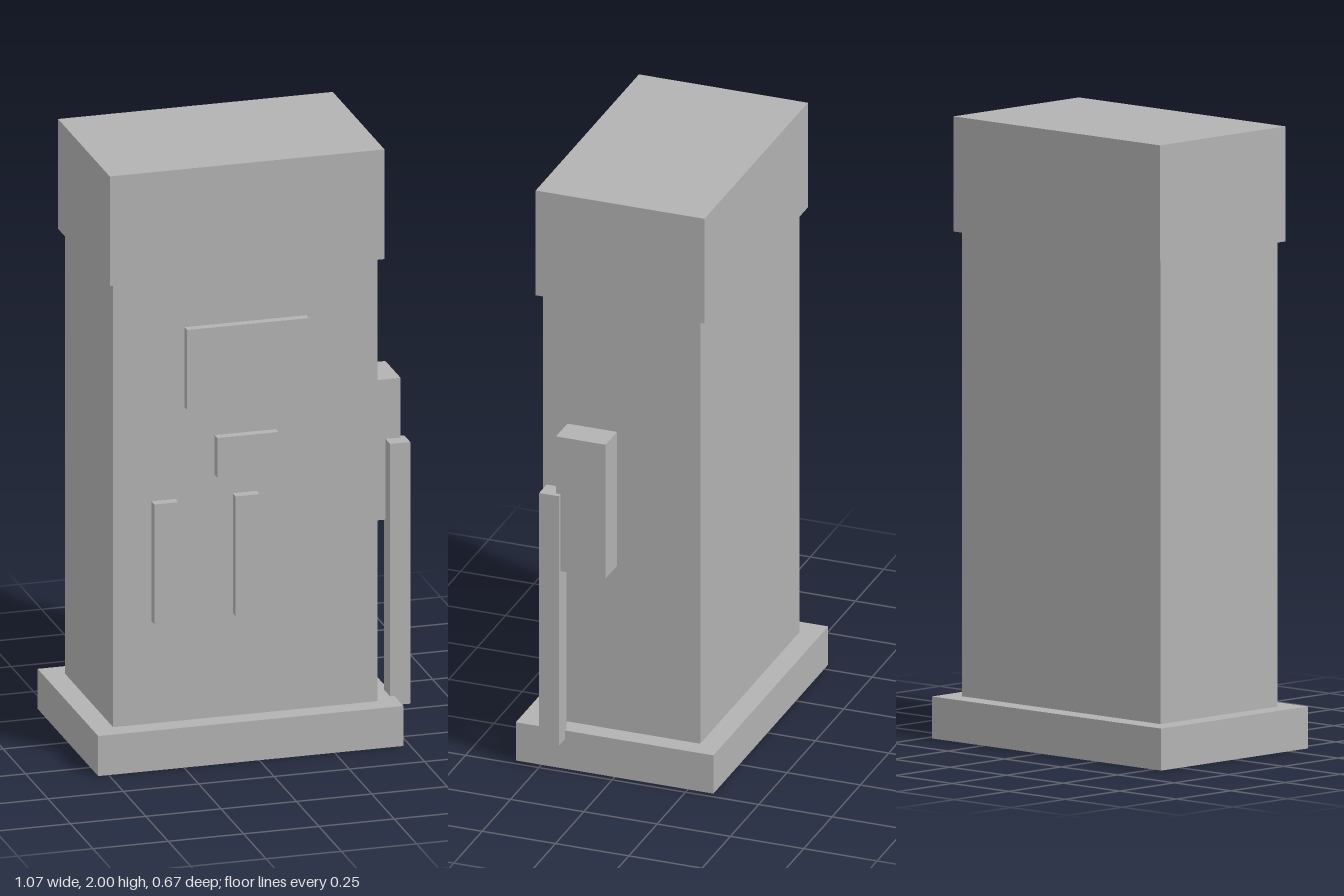
import * as THREE from 'three';

export function createModel() {
  const group = new THREE.Group();
  const grey = new THREE.MeshStandardMaterial({ color: 0xb2b2b2 });
  grey.name = 'grey';

  // Box between two limits on each axis
  const box = (name, [x0, x1], [y0, y1], [z0, z1]) => {
    const mesh = new THREE.Mesh(new THREE.BoxGeometry(x1 - x0, y1 - y0, z1 - z0), grey);
    mesh.position.set((x0 + x1) / 2, (y0 + y1) / 2, (z0 + z1) / 2);
    mesh.name = name;
    group.add(mesh);
  };

  // Pump housing
  box('base', [-0.535, 0.478], [0, 0.135], [-0.337, 0.337]);
  box('body', [-0.465, 0.413], [0.135, 1.63], [-0.267, 0.269]);
  box('topSign', [-0.482, 0.43], [1.63, 2], [-0.288, 0.288]);

  // Raised panels on the front
  const front = 0.269;
  box('displayPanel', [-0.228, 0.176], [1.19, 1.46], [front, 0.298]);
  box('keypad', [-0.128, 0.075], [0.953, 1.086], [front, 0.298]);
  for (const x of [-0.338, -0.068]) {
    box('frontSlot', [x, x + 0.08], [0.48, 0.884], [front, 0.301]);
  }

  // Nozzle holder and hose on the left side
  box('nozzleHolder', [0.413, 0.514], [0.714, 1.187], [0.017, 0.186]);
  box('hose', [0.464, 0.531], [0.104, 0.986], [0.17, 0.237]);

  return group;
}
